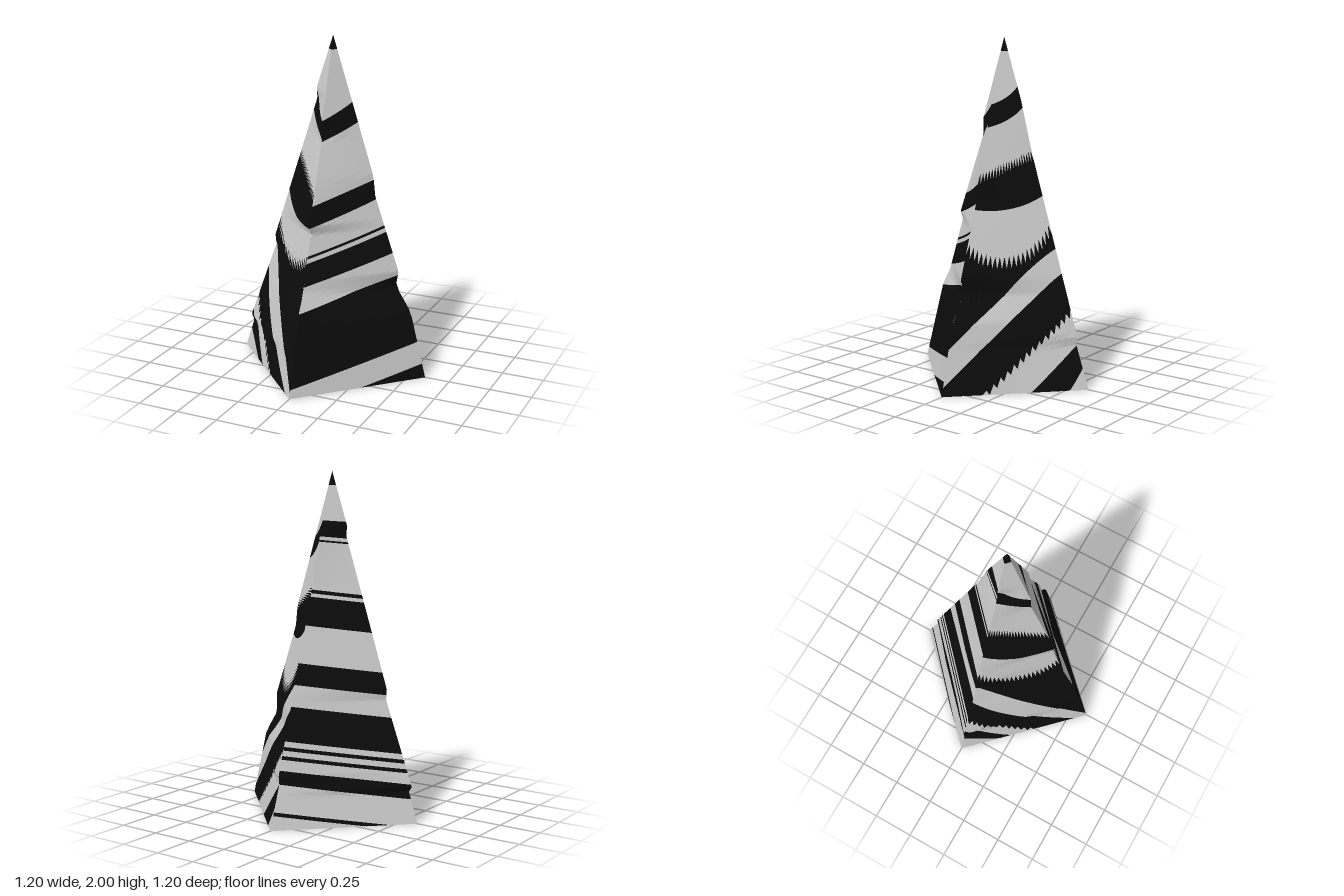
import * as THREE from 'three';

const COLS = 40, ROWS = 8;

// Ridges run straight from base to tip, with small chips given as [height, offset]
const ridge = (x, z, ...chips) => ({ x, z, chips: [[0, 0], ...chips, [2, 0]] });
const left = ridge(1, 0, [0.4, 0.02], [0.55, -0.03], [0.64, 0.012], [1.08, -0.008], [1.2, 0.015]);
const right = ridge(-1, 0, [0.18, -0.005], [0.21, 0.023], [0.7, -0.01], [0.76, 0.013], [1.63, -0.011], [1.69, 0.012]);
const front = ridge(0, 1, [0.48, 0.01], [0.58, -0.016], [0.9, -0.02], [0.95, 0.01], [1.43, -0.02], [1.53, 0.009]);
const back = ridge(0, -1, [0.25, -0.01], [0.3, 0.01], [1.35, 0], [1.64, 0.012]);

function ridgePoint({ x, z, chips }, y) {
  const i = Math.max(1, chips.findIndex(([h]) => y <= h));
  const [y0, c0] = chips[i - 1], [y1, c1] = chips[i];
  const r = 0.6 - 0.3 * y + THREE.MathUtils.mapLinear(y, y0, y1, c0, c1);
  return new THREE.Vector3(x * r, y, z * r);
}

// Stripe edge bending through its start, middle and end heights, with optional ragged teeth
const bent = (a, b, c, teeth = 0) => col => {
  const t = col / COLS;
  return a * (1 - t) * (1 - 2 * t) + 4 * b * t * (1 - t) + c * t * (2 * t - 1) + (col % 2) * teeth;
};

// Straight stripe edges from their start heights; rise gives the climb across the face
const straight = (heights, rise) => heights.map(h => col => h + rise(h) * col / COLS);

const frontLeftEdges = straight(
  [1.53, 1.41, 1.06, 0.94, 0.78, 0.765, 0.74, 0.61, 0.47, 0.05, -0.09], h => 0.17 - 0.05 * h);

const backRightEdges = straight(
  [1.72, 1.63, 1.61, 1.6, 1.33, 1.31, 1.29, 1.13, 0.92, 0.8, 0.68, 0.49, 0.46, 0.44, 0.41, 0.39, 0.33, 0.25, 0.1, 0.08],
  h => 0.07 * h - 0.13);

const backLeftEdges = [
  bent(1.62, 1.66, 1.72), bent(1.49, 1.53, 1.6),
  bent(1.17, 1.24, 1.3, 0.06), bent(1.03, 1.03, 1.1),
  bent(0.78, 0.7, 0.88, 0.07), bent(0.26, 0.6, 0.8),
  bent(0.05, 0.42, 0.66), bent(-0.2, 0.16, 0.46, -0.04),
  bent(-0.5, -0.08, 0.25), bent(-0.6, -0.3, 0.12)
];

const frontRightEdges = [
  bent(1.68, 1.59, 1.53), bent(1.56, 1.5, 1.42),
  bent(1.26, 1.18, 1.08, 0.06), bent(1.06, 0.95, 0.94),
  bent(0.83, 0.66, 0.72, 0.07), bent(0.72, 0.43, 0.03),
  bent(0.56, 0.23, -0.05), bent(0.38, 0.06, -0.2, -0.04),
  bent(0.25, -0.06, -0.3), bent(0.12, -0.1, -0.4)
];

// Grid surface between two rows of heights on a sloping face
function addBand(out, from, to, upper, lower) {
  const point = (c, r) => {
    const y = THREE.MathUtils.lerp(upper[c], lower[c], r / ROWS);
    return ridgePoint(from, y).lerp(ridgePoint(to, y), c / COLS);
  };
  for (let c = 0; c < COLS; c++) {
    if (upper[c] - lower[c] + upper[c + 1] - lower[c + 1] < 1e-5) continue;
    for (let r = 0; r < ROWS; r++) {
      const a = point(c, r), b = point(c + 1, r), d = point(c, r + 1), e = point(c + 1, r + 1);
      for (const p of [a, d, e, a, e, b]) out.push(p.x, p.y, p.z);
    }
  }
}

function makeMesh(name, positions, material) {
  const geometry = new THREE.BufferGeometry();
  geometry.setAttribute('position', new THREE.Float32BufferAttribute(positions, 3));
  geometry.computeVertexNormals();
  const mesh = new THREE.Mesh(geometry, material);
  mesh.name = name;
  return mesh;
}

export function createModel() {
  const model = new THREE.Group();
  model.name = 'stripedPyramid';
  const light = new THREE.MeshStandardMaterial({ color: 0xcccccc, flatShading: true });
  const dark = new THREE.MeshStandardMaterial({ color: 0x0c0c0c, flatShading: true });

  // Sloping face cut into alternating stripes, from the dark tip down to the ground
  function addFace(name, from, to, edges) {
    const group = new THREE.Group();
    group.name = name;
    const stripes = [[], []];
    let upper = new Array(COLS + 1).fill(2);
    [() => 1.92, ...edges, () => 0].forEach((height, i) => {
      const lower = upper.map((u, c) => Math.max(0, Math.min(u, height(c))));
      addBand(stripes[i % 2], from, to, upper, lower);
      upper = lower;
    });
    group.add(makeMesh('darkStripes', stripes[0], dark), makeMesh('lightStripes', stripes[1], light));
    model.add(group);
  }
  addFace('frontLeftFace', front, left, frontLeftEdges);
  addFace('backLeftFace', left, back, backLeftEdges);
  addFace('backRightFace', back, right, backRightEdges);
  addFace('frontRightFace', right, front, frontRightEdges);

  // Flat square underside
  const base = new THREE.Mesh(new THREE.CircleGeometry(0.6, 4), light);
  base.name = 'base';
  base.rotation.x = Math.PI / 2;
  model.add(base);
  return model;
}
